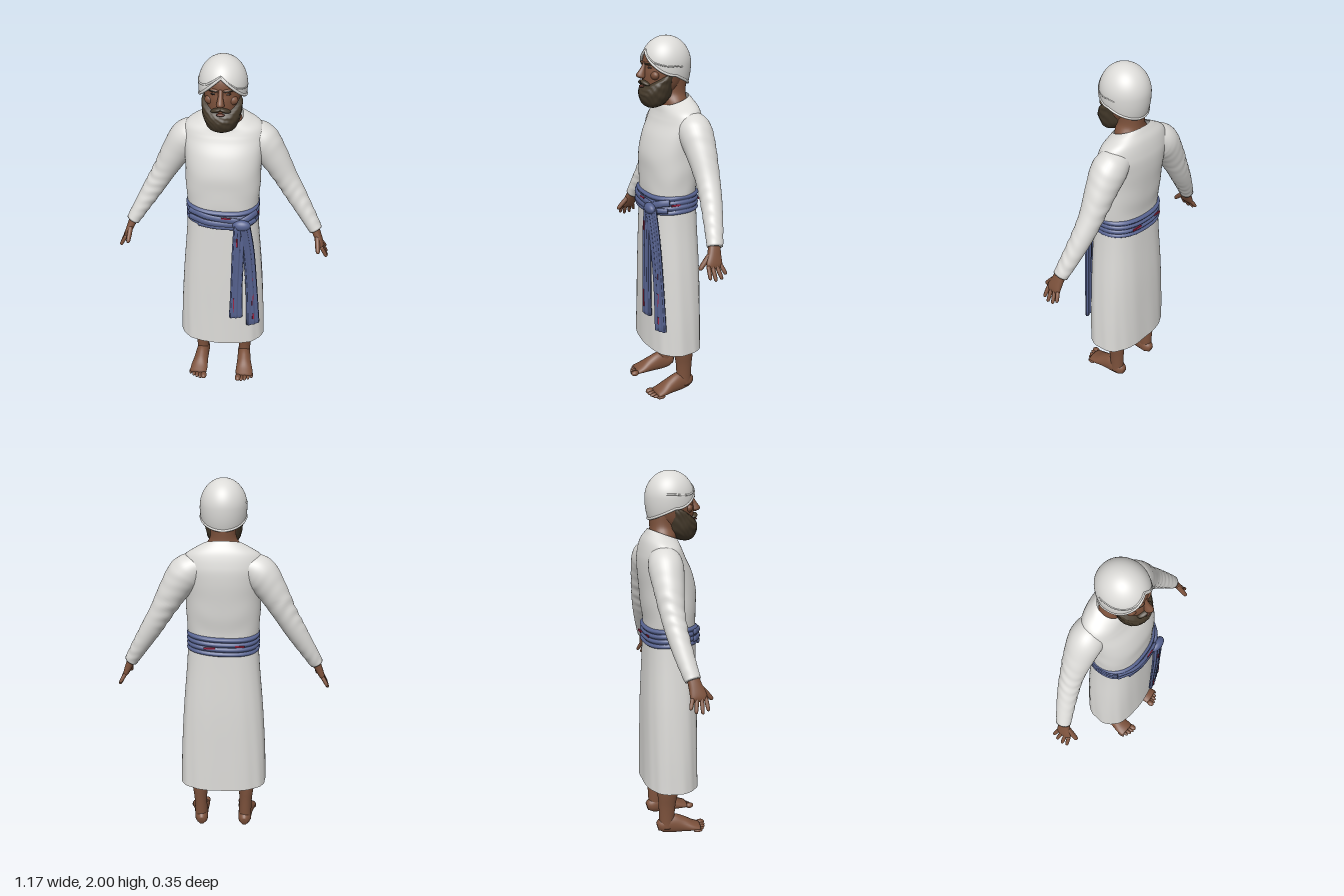
import * as THREE from 'three';

const mat = (name, color, side = THREE.FrontSide) => {
  const m = new THREE.MeshStandardMaterial({ color, side });
  m.name = name;
  return m;
};

// Skin a path of sections [x, y, z, halfWidth, halfDepth] with (super)elliptical rings.
// flat keeps rings horizontal; fold scales the radius; warp moves single points.
function loft(sections, o = {}) {
  const { seg = 24, steps = 24, power = 2, flat = false, cap = true, ref = [0, 0, 1], fold, warp, s = 1 } = o;
  const path = new THREE.CatmullRomCurve3(sections.map(p => new THREE.Vector3(p[0] * s, p[1], p[2])), false, 'catmullrom');
  const radii = new THREE.CatmullRomCurve3(sections.map(p => new THREE.Vector3(p[3], p[4], 0)), false, 'catmullrom');
  const R = new THREE.Vector3(ref[0] * s, ref[1], ref[2]).normalize();
  const pos = [], index = [];
  const sp = v => Math.sign(v) * Math.abs(v) ** (2 / power);
  for (let i = 0; i <= steps; i++) {
    const t = i / steps, c = path.getPoint(t), r = radii.getPoint(t);
    let T = path.getTangent(t);
    if (flat) T = new THREE.Vector3(0, Math.sign(T.y) || 1, 0);
    const U = new THREE.Vector3().crossVectors(R, T).normalize();
    const V = new THREE.Vector3().crossVectors(T, U);
    for (let j = 0; j < seg; j++) {
      const th = j / seg * Math.PI * 2, k = fold ? fold(th, t) : 1;
      const v = c.clone().addScaledVector(U, Math.max(r.x, 0.001) * k * sp(Math.cos(th)))
        .addScaledVector(V, Math.max(r.y, 0.001) * k * sp(Math.sin(th)));
      if (warp) warp(v, th, t);
      pos.push(v.x, v.y, v.z);
      if (i < steps) {
        const a = i * seg + j, b = i * seg + (j + 1) % seg;
        index.push(a, b, a + seg, b, b + seg, a + seg);
      }
    }
  }
  if (cap) [0, steps].forEach(i => {
    const n = pos.length / 3, m = [0, 0, 0];
    for (let j = 0; j < seg; j++) for (let k = 0; k < 3; k++) m[k] += pos[(i * seg + j) * 3 + k] / seg;
    pos.push(...m);
    for (let j = 0; j < seg; j++) {
      const a = i * seg + j, b = i * seg + (j + 1) % seg;
      index.push(n, ...(i ? [a, b] : [b, a]));
    }
  });
  const g = new THREE.BufferGeometry();
  g.setAttribute('position', new THREE.Float32BufferAttribute(pos, 3));
  g.setIndex(index);
  g.computeVertexNormals();
  return g;
}

// Point on the head wrap: th around the head, t from rim to crown
function wrapPoint(v, th, t, grow = 1) {
  const front = Math.sin(th);
  const rim = front > 0 ? 1.925 - 0.115 * Math.abs(Math.cos(th)) ** 1.2 : 1.81 + 0.055 * front;
  const limit = Math.acos((rim - 1.86) / (rim > 1.86 ? 0.14 : 0.22));
  const a = limit * (1 - t), c = Math.cos(a), r = Math.sin(a) * grow;
  return v.set(Math.cos(th) * 0.121 * r, 1.86 + c * (c > 0 ? 0.14 : 0.22), -0.005 + front * 0.132 * r);
}

export function createModel() {
  const model = new THREE.Group();
  const cloth = mat('white cloth', 0xdcdbd8, THREE.DoubleSide);
  const skin = mat('brown skin', 0x7d523c);
  const hair = mat('dark beard', 0x453a2b);
  const blue = mat('blue sash', 0x56628f);
  const red = mat('red weave', 0xa02442);
  const dark = mat('dark eye', 0x2a1d17);
  const lip = mat('lips', 0x6b3f34);
  const add = (name, geo, m, parent = model) => {
    const mesh = new THREE.Mesh(geo, m);
    mesh.name = name;
    parent.add(mesh);
    return mesh;
  };
  const ball = (name, m, [x, y, z], [a, b, c]) => {
    const mesh = add(name, new THREE.SphereGeometry(1, 20, 14), m);
    mesh.position.set(x, y, z);
    mesh.scale.set(a, b, c);
    return mesh;
  };

  // Skirt, open at the hem
  add('skirt', loft([[0, 0.28, -0.017, 0.246, 0.153], [0, 0.5, -0.017, 0.238, 0.15], [0, 0.75, -0.016, 0.222, 0.146],
    [0, 1.0, -0.013, 0.2, 0.138], [0, 1.17, -0.012, 0.189, 0.133]], {
    flat: true, cap: false, power: 2.5, seg: 96, steps: 30,
    fold: (th, t) => 1 + (1 - t) * (0.008 * Math.sin(th * 9) + 0.005 * Math.sin(th * 17 + 4 * t)),
  }), cloth);

  // Tunic with sloping shoulders and a collar lower in front
  add('tunic', loft([[0, 1.14, -0.012, 0.188, 0.132], [0, 1.22, -0.012, 0.194, 0.136], [0, 1.31, -0.017, 0.199, 0.143],
    [0, 1.4, -0.022, 0.199, 0.146], [0, 1.49, -0.038, 0.205, 0.137], [0, 1.565, -0.056, 0.212, 0.117],
    [0, 1.62, -0.057, 0.196, 0.1], [0, 1.655, -0.05, 0.142, 0.085], [0, 1.676, -0.046, 0.1, 0.075]], {
    flat: true, cap: false, power: 2.25, seg: 80, steps: 48,
    fold: (th, t) => 1 + 0.008 * Math.sin(t * 26 + 2 * Math.sin(th * 3)) * Math.max(0, 1 - t * 2.2),
    warp: v => { if (v.y > 1.58) v.y -= (v.y - 1.58) / 0.1 * (v.z + 0.045) * 0.38; },
  }), cloth);

  // Neck, face and beard
  add('neck', loft([[0, 1.6, -0.046, 0.108, 0.07], [0, 1.665, -0.045, 0.092, 0.071], [0, 1.71, -0.043, 0.068, 0.07],
    [0, 1.77, -0.04, 0.066, 0.076], [0, 1.83, -0.03, 0.07, 0.08]], { flat: true, seg: 32 }), skin);
  add('head', loft([[0, 1.69, 0.04, 0.05, 0.06], [0, 1.75, 0.02, 0.078, 0.1], [0, 1.81, 0.01, 0.09, 0.112],
    [0, 1.845, 0.004, 0.094, 0.113], [0, 1.88, 0, 0.095, 0.118], [0, 1.925, -0.002, 0.088, 0.106],
    [0, 1.96, -0.004, 0.06, 0.07]], { flat: true, seg: 40, steps: 30 }), skin);
  add('beard', loft([[0, 1.64, 0.075, 0.03, 0.025], [0, 1.658, 0.068, 0.066, 0.056], [0, 1.7, 0.058, 0.088, 0.084],
    [0, 1.745, 0.05, 0.098, 0.09], [0, 1.775, 0.042, 0.1, 0.086], [0, 1.785, 0.035, 0.085, 0.075]], {
    flat: true, seg: 56, steps: 36,
    fold: (th, t) => 1 + 0.025 * Math.sin(th * 13 + 9 * t) * Math.sin(t * 24 + 2 * Math.sin(th * 5)),
    warp: v => { v.y += Math.max(0, v.y - 1.7) / 0.08 * (0.07 - v.z) * 0.55; },
  }), hair);
  add('nose', loft([[0, 1.875, 0.108, 0.011, 0.01], [0, 1.84, 0.122, 0.012, 0.016], [0, 1.812, 0.135, 0.018, 0.025],
    [0, 1.798, 0.135, 0.02, 0.022], [0, 1.79, 0.128, 0.01, 0.012]], { flat: true, seg: 16, steps: 16 }), skin);
  ball('mouth', lip, [0, 1.75, 0.133], [0.022, 0.007, 0.011]);
  for (const s of [1, -1]) {
    ball('moustache', hair, [0.022 * s, 1.769, 0.122], [0.031, 0.011, 0.018]).rotation.set(0, 0.45 * s, -0.35 * s);
    ball('cheek', skin, [0.05 * s, 1.808, 0.082], [0.032, 0.024, 0.022]);
    ball('eye', dark, [0.036 * s, 1.846, 0.103], [0.015, 0.006, 0.008]).rotation.y = 0.4 * s;
    ball('brow', skin, [0.036 * s, 1.866, 0.105], [0.03, 0.009, 0.014]).rotation.y = 0.4 * s;
    ball('eyebrow', hair, [0.037 * s, 1.866, 0.113], [0.025, 0.005, 0.008]).rotation.set(0, 0.4 * s, 0.1 * s);
  }

  // Head wrap with rim and overlapping folds
  add('headWrap', loft([[0, 1.8, 0, 0.1, 0.1], [0, 2, 0, 0.1, 0.1]], {
    flat: true, seg: 72, steps: 30, cap: false, warp: (v, th, t) => wrapPoint(v, -th, t),
  }), cloth);
  const wrapCurve = (from, to, lift, closed) => new THREE.CatmullRomCurve3(Array.from({ length: 40 }, (_, i) => {
    const k = i / (closed ? 40 : 39);
    return wrapPoint(new THREE.Vector3(), from + (to - from) * k, lift(k), 0.985);
  }), closed);
  add('wrapRim', new THREE.TubeGeometry(wrapCurve(0, Math.PI * 2, () => 0, true), 120, 0.007, 8, true), cloth);
  add('wrapFold', new THREE.TubeGeometry(wrapCurve(1.35, 3.5, k => 0.03 + 0.22 * k), 60, 0.005, 8), cloth);
  add('wrapFold', new THREE.TubeGeometry(wrapCurve(1.6, -0.3, k => 0.02 + 0.12 * k), 60, 0.004, 8), cloth);

  for (const s of [1, -1]) {
    // Sleeve, creased at elbow and cuff
    add('sleeve', loft([[0.12, 1.57, -0.075, 0.07, 0.075], [0.19, 1.528, -0.077, 0.092, 0.09], [0.255, 1.44, -0.08, 0.079, 0.08],
      [0.325, 1.32, -0.08, 0.063, 0.064], [0.385, 1.22, -0.07, 0.056, 0.056], [0.45, 1.115, -0.05, 0.046, 0.049],
      [0.508, 1.02, -0.028, 0.037, 0.041]], {
      s, seg: 40, steps: 72,
      fold: (th, t) => 1 + (t > 0.4 ? 0.03 : 0.008) * Math.sin(t * 75 + 2 * Math.sin(th * 2)) * (0.5 + 0.5 * Math.sin(th + t * 9)),
    }), cloth);

    // Hand
    const hand = new THREE.Group();
    hand.name = 'hand';
    model.add(hand);
    add('palm', loft([[0.497, 1.04, -0.028, 0.024, 0.03], [0.52, 0.99, -0.018, 0.021, 0.035], [0.54, 0.945, -0.008, 0.016, 0.043],
      [0.549, 0.922, -0.006, 0.008, 0.036]], { s, power: 2.4 }), skin, hand);
    const finger = (name, a, b, r) => {
      const p = k => a.map((v, i) => v + (b[i] - v) * k);
      add(name, loft([[...p(0), r, r], [...p(0.5), r, r], [...p(0.9), r * 0.8, r * 0.8], [...p(1), r * 0.25, r * 0.25]],
        { s, seg: 12, steps: 12 }), skin, hand);
    };
    [[-0.039, -0.058, 0.892], [-0.017, -0.032, 0.873], [0.006, 0.002, 0.868], [0.027, 0.032, 0.88]].forEach(([z0, z1, y]) =>
      finger('finger', [0.543, 0.94, z0], [0.582 - (y - 0.868) * 0.4, y, z1], 0.0105));
    finger('thumb', [0.518, 0.99, 0.004], [0.527, 0.92, 0.068], 0.0135);

    // Leg, foot and toes
    add('leg', loft([[0.135, 0.5, -0.045, 0.055, 0.066], [0.135, 0.28, -0.052, 0.046, 0.062], [0.132, 0.17, -0.057, 0.037, 0.049],
      [0.13, 0.09, -0.058, 0.036, 0.044], [0.13, 0.03, -0.058, 0.037, 0.042]], { s }), skin);
    add('foot', loft([[0.125, 0.035, -0.112, 0.018, 0.024], [0.126, 0.042, -0.085, 0.035, 0.043], [0.13, 0.048, -0.03, 0.039, 0.058],
      [0.134, 0.038, 0.03, 0.043, 0.046], [0.139, 0.025, 0.085, 0.051, 0.028], [0.142, 0.017, 0.13, 0.05, 0.016]], {
      s, ref: [0, 1, 0], seg: 28, warp: v => { v.y = Math.max(0, v.y); },
    }), skin);
    [0.018, 0.013, 0.012, 0.011, 0.01].forEach((r, i) =>
      ball('toe', skin, [(0.105 + i * 0.0205) * s, r * 0.9, 0.148 - 0.0022 * i * i], [r, r * 0.9, 0.025]));
  }

  // Pleated sash round the waist
  const ridges = Array.from({ length: 13 }, (_, i) => {
    const d = i === 0 || i === 12 ? 0 : i % 3 === 0 ? 0.005 : 0.012;
    return [0, 1.092 + i * 0.0088, -0.012, 0.189 + d * 0.7, 0.135 + d];
  });
  add('sash', loft(ridges, {
    flat: true, seg: 80, steps: 48, power: 2.4,
    warp: (v, th) => { v.y += 0.005 * Math.sin(th * 2 + 0.5); },
  }), blue);
  const sashZ = x => -0.012 + 0.147 * Math.max(0, 1 - (Math.abs(x) / 0.2) ** 2.4) ** (1 / 2.4);
  const strap = (x0, y0, x1, y1, h) => add('sashFold', loft([0, 0.33, 0.67, 1].map(k => {
    const x = x0 + (x1 - x0) * k;
    return [x, y0 + (y1 - y0) * k ** 1.4, sashZ(x) + 0.004 + 0.006 * k, h, 0.009];
  }), { seg: 14, steps: 20 }), blue);
  strap(-0.17, 1.175, 0.1, 1.145, 0.016);
  strap(-0.17, 1.135, 0.1, 1.12, 0.016);
  strap(-0.12, 1.112, 0.1, 1.105, 0.013);
  strap(0.185, 1.165, 0.1, 1.135, 0.018);
  strap(0.18, 1.12, 0.11, 1.115, 0.014);

  // Knot and the two hanging ends
  ball('sashKnot', blue, [0.112, 1.128, 0.143], [0.048, 0.03, 0.026]);
  const pleat = th => 1 + 0.22 * Math.cos(3 * Math.PI * Math.cos(th)) * Math.abs(Math.sin(th));
  add('innerSashEnd', loft([[0.1, 1.13, 0.145, 0.03, 0.016], [0.096, 0.95, 0.153, 0.034, 0.014], [0.09, 0.7, 0.153, 0.034, 0.012],
    [0.088, 0.505, 0.153, 0.039, 0.012]], { fold: pleat, seg: 48, ref: [0.2, 0, 1] }), blue);
  add('outerSashEnd', loft([[0.125, 1.13, 0.142, 0.034, 0.016], [0.152, 0.95, 0.131, 0.034, 0.014], [0.172, 0.7, 0.121, 0.035, 0.013],
    [0.186, 0.435, 0.116, 0.041, 0.013]], { fold: pleat, seg: 48, ref: [0.45, 0, 1] }), blue);

  // Red woven marks
  const mark = (x, y, z, w, h, turn) => {
    const m = add('redMark', new THREE.BoxGeometry(w, h, 0.006), red);
    m.position.set(x, y, z);
    m.rotation.y = turn;
  };
  [[0.62, 0.08], [0.75, 0.05], [0.5, 0.04]].forEach(([y, h]) => mark(0.187 - (y - 0.5) * 0.05, y, 0.13, 0.01, h, 0.42));
  mark(0.075, 0.6, 0.167, 0.005, 0.1, 0.2);
  mark(0.09, 1.03, 0.168, 0.006, 0.05, 0.2);
  mark(0.03, 1.168, 0.149, 0.05, 0.006, 0);
  mark(0.193, 1.15, 0.03, 0.05, 0.01, Math.PI / 2);
  mark(0.07, 1.14, -0.155, 0.06, 0.01, Math.PI);
  mark(-0.09, 1.15, -0.152, 0.05, 0.01, Math.PI);
  return model;
}
